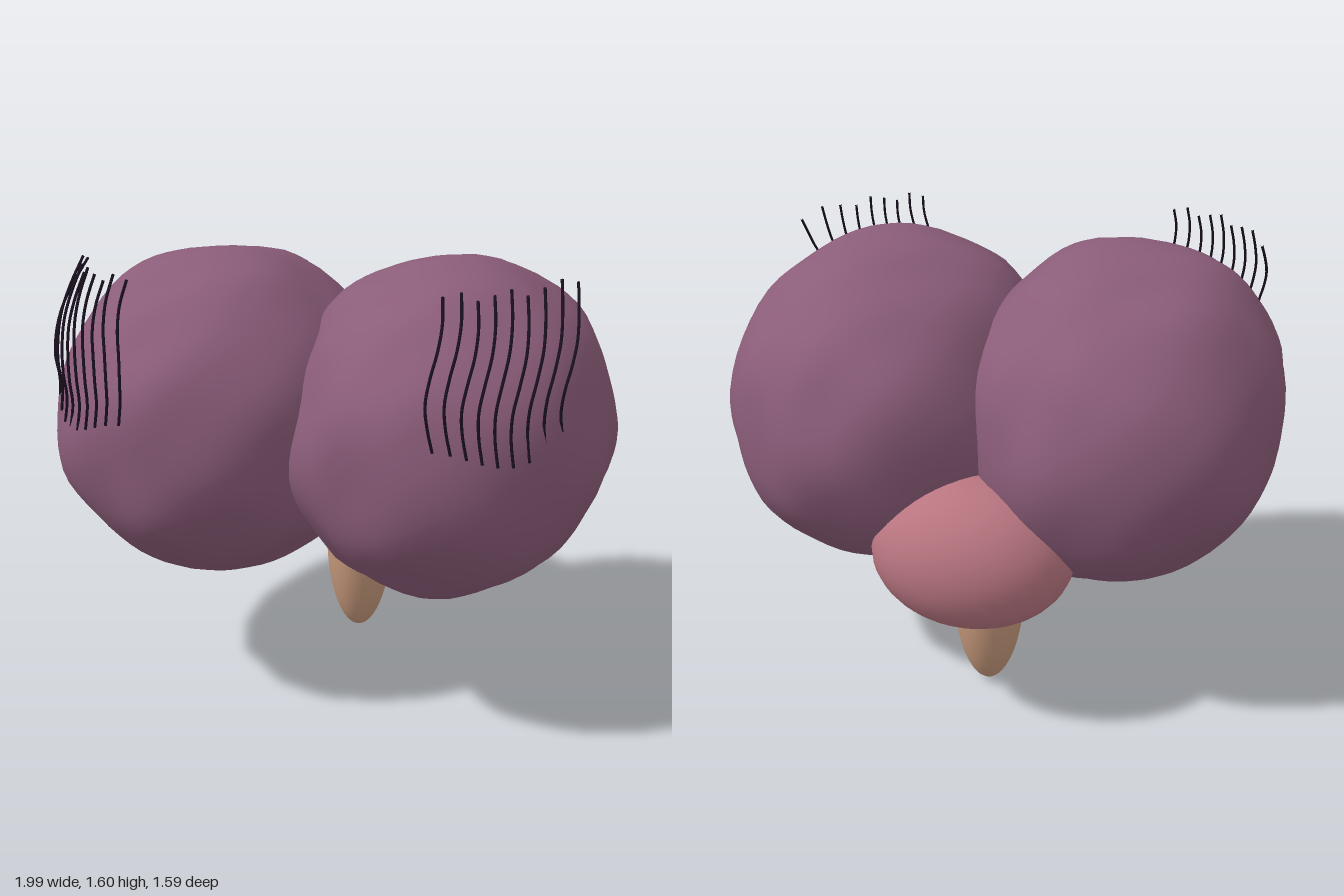
import * as THREE from 'three';
import { mergeVertices } from 'three/addons/utils/BufferGeometryUtils.js';

const material = (name, color) => {
  const m = new THREE.MeshStandardMaterial({ color });
  m.name = name;
  return m;
};

// Proportions of one hemisphere: centre and radii
const C = { x: 0.415, y: 1.0, z: 0.03 };
const R = { x: 0.575, y: 0.59, z: 0.75 };

// Ellipsoid with soft rolling lumps and a fuller outer side
function hemisphereGeometry(side) {
  const base = new THREE.IcosahedronGeometry(1, 12);
  base.deleteAttribute('normal');
  base.deleteAttribute('uv');
  const geo = mergeVertices(base, 1e-4);
  const p = geo.attributes.position;
  const v = new THREE.Vector3();
  for (let i = 0; i < p.count; i++) {
    v.fromBufferAttribute(p, i);
    const x = v.x * R.x, y = v.y * R.y, z = v.z * R.z;
    const outer = Math.max(0, side * v.x);
    const upper = Math.max(0, v.y);
    const s = 1 + 0.1 * outer * outer * (v.z * v.z + upper * upper)
      + 0.014 * Math.sin(x * 13 + side * 0.6) * Math.cos(y * 12 + 0.4)
      + 0.012 * Math.sin(z * 14 + 0.8) * Math.cos(y * 11 - x * 4)
      + 0.007 * Math.sin(z * 20 + x * 17);
    p.setXYZ(i, x * s, y * s, z * s);
  }
  geo.computeVertexNormals();
  return geo;
}

// Front surface of the hemisphere at a given x and y
function surfaceZ(x, y) {
  const a = (x - C.x) / R.x, b = (y - C.y) / R.y;
  return C.z + R.z * Math.sqrt(Math.max(0, 1 - a * a - b * b));
}

// One wavy strand, rooted on the surface and sweeping back at its tip
function strandGeometry(side, i) {
  const t = i / 8;
  const x0 = 0.5 + 0.365 * Math.pow(t, 0.92);
  const bottom = 1.13 - 0.06 * Math.sin(Math.PI * Math.pow(t, 1.5));
  const top = 1.575 + 0.015 * Math.sin(i * 2.1);
  const front = surfaceZ(x0, C.y) + 0.02;
  const sweep = 0.13 + 0.15 * t * t * t;
  const points = [];
  for (let k = 0; k <= 6; k++) {
    const u = k / 6;
    const y = bottom + (top - bottom) * u;
    const x = x0 + 0.014 * Math.sin(u * 6.5 + 2.6 + t);
    const back = u < 0.3 ? 0.05 * Math.pow(1 - u / 0.3, 2) : sweep * Math.pow((u - 0.3) / 0.7, 1.4);
    const z = Math.max(front - back, surfaceZ(x, y) + 0.02);
    points.push(new THREE.Vector3(side * x, y, z));
  }
  return new THREE.TubeGeometry(new THREE.CatmullRomCurve3(points), 20, 0.005, 5);
}

export function createModel() {
  const model = new THREE.Group();
  model.name = 'brain';
  const mauve = material('mauve', 0x8a5c78);
  const rose = material('rose', 0xb87580);
  const tan = material('tan', 0xc4977a);
  const ink = material('ink', 0x1a1020);

  const add = (name, geometry, mat, x, y, z) => {
    const mesh = new THREE.Mesh(geometry, mat);
    mesh.name = name;
    mesh.position.set(x, y, z);
    model.add(mesh);
  };

  // Hemispheres and their strands
  for (const [side, label] of [[1, 'left'], [-1, 'right']]) {
    add(label + 'Hemisphere', hemisphereGeometry(side), mauve, side * C.x, C.y, C.z);
    const strands = new THREE.Group();
    strands.name = label + 'Strands';
    for (let i = 0; i < 9; i++) {
      const strand = new THREE.Mesh(strandGeometry(side, i), ink);
      strand.name = 'strand';
      strands.add(strand);
    }
    model.add(strands);
  }

  // Cerebellum at the lower back
  add('cerebellum', new THREE.SphereGeometry(1, 32, 24).scale(0.35, 0.265, 0.26), rose, 0, 0.655, -0.53);

  // Stem underneath
  add('stem', new THREE.SphereGeometry(1, 32, 24).scale(0.13, 0.4, 0.16), tan, 0, 0.4, -0.3);

  return model;
}
